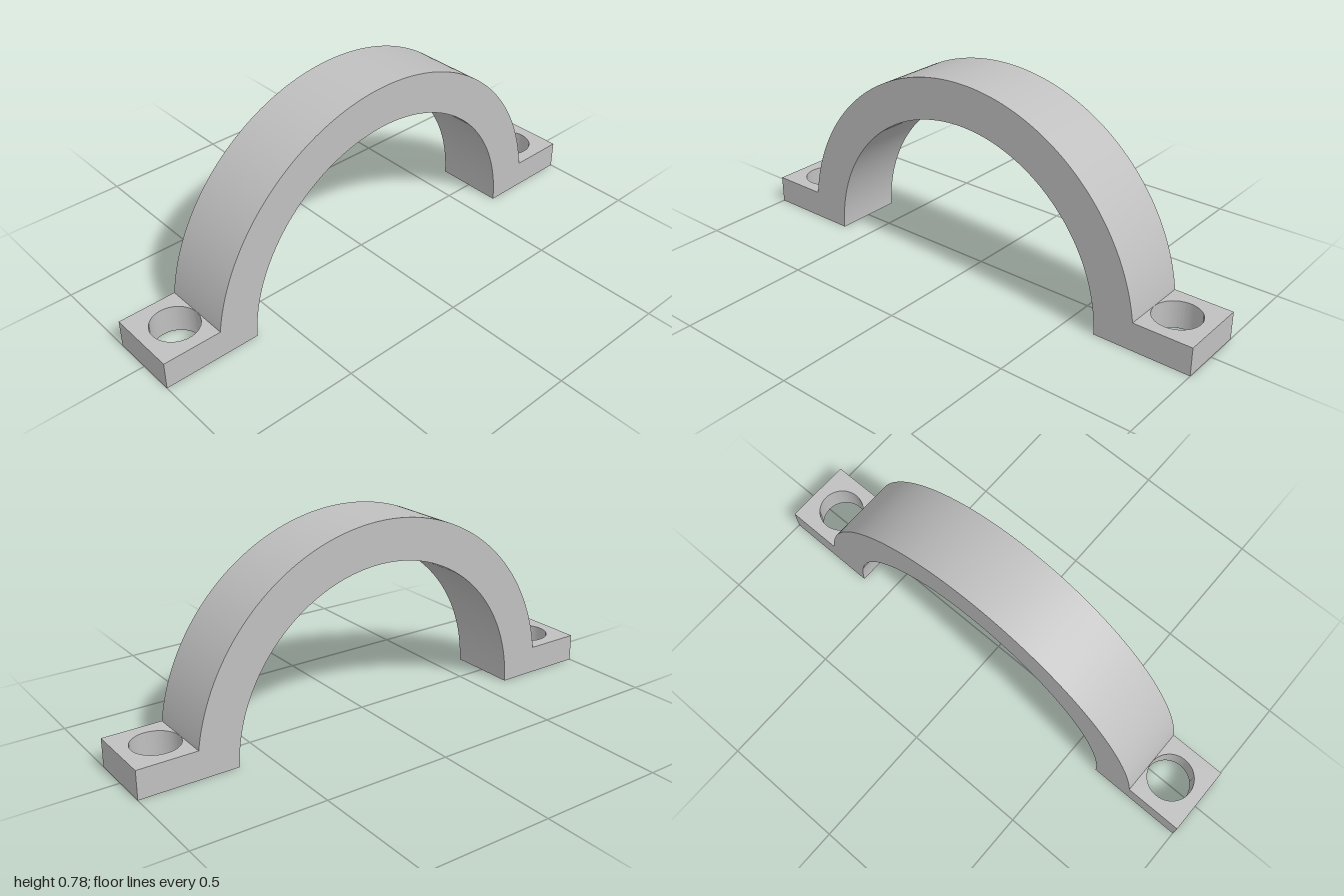
import * as THREE from 'three';
import { toCreasedNormals } from 'three/addons/utils/BufferGeometryUtils.js';

const WIDTH = 0.278, OUTER = 0.78, INNER = 0.62, FOOT_H = 0.11;
const FOOT_IN = Math.sqrt(OUTER * OUTER - FOOT_H * FOOT_H); // where the arch meets the foot
const HOLE_Z = 0.863, HOLE_R = 0.09;

function extrude(shape, depth, curveSegments) {
  const geometry = new THREE.ExtrudeGeometry(shape, { depth, curveSegments, bevelEnabled: false });
  return geometry;
}

export function createModel() {
  const group = new THREE.Group();
  group.name = 'pipeClamp';
  const steel = new THREE.MeshStandardMaterial({ color: 0xc0c0c0 });
  steel.name = 'lightGrey';

  // Half-ring strap, with straight outer sides where the feet join
  const start = Math.asin(FOOT_H / OUTER);
  const profile = new THREE.Shape();
  profile.moveTo(INNER, 0);
  profile.lineTo(FOOT_IN, 0);
  profile.lineTo(FOOT_IN, FOOT_H);
  profile.absarc(0, 0, OUTER, start, Math.PI - start, false);
  profile.lineTo(-FOOT_IN, 0);
  profile.lineTo(-INNER, 0);
  profile.absarc(0, 0, INNER, Math.PI, 0, true);
  const archGeometry = extrude(profile, WIDTH, 72)
    .translate(0, 0, -WIDTH / 2)
    .rotateY(-Math.PI / 2);
  const arch = new THREE.Mesh(toCreasedNormals(archGeometry, 0.5), steel);
  arch.name = 'archStrap';
  group.add(arch);

  // Mounting foot with a bolt hole, at the front and turned round for the back
  const plate = new THREE.Shape();
  plate.moveTo(-WIDTH / 2, -1);
  plate.lineTo(WIDTH / 2, -1);
  plate.lineTo(WIDTH / 2, -FOOT_IN);
  plate.lineTo(-WIDTH / 2, -FOOT_IN);
  plate.closePath();
  const hole = new THREE.Path();
  hole.absarc(0, -HOLE_Z, HOLE_R, 0, Math.PI * 2, true);
  plate.holes.push(hole);
  const footGeometry = toCreasedNormals(extrude(plate, FOOT_H, 48).rotateX(-Math.PI / 2), 0.5);
  for (const [name, turn] of [['frontFoot', 0], ['backFoot', Math.PI]]) {
    const foot = new THREE.Mesh(footGeometry, steel);
    foot.name = name;
    foot.rotation.y = turn;
    group.add(foot);
  }
  return group;
}
